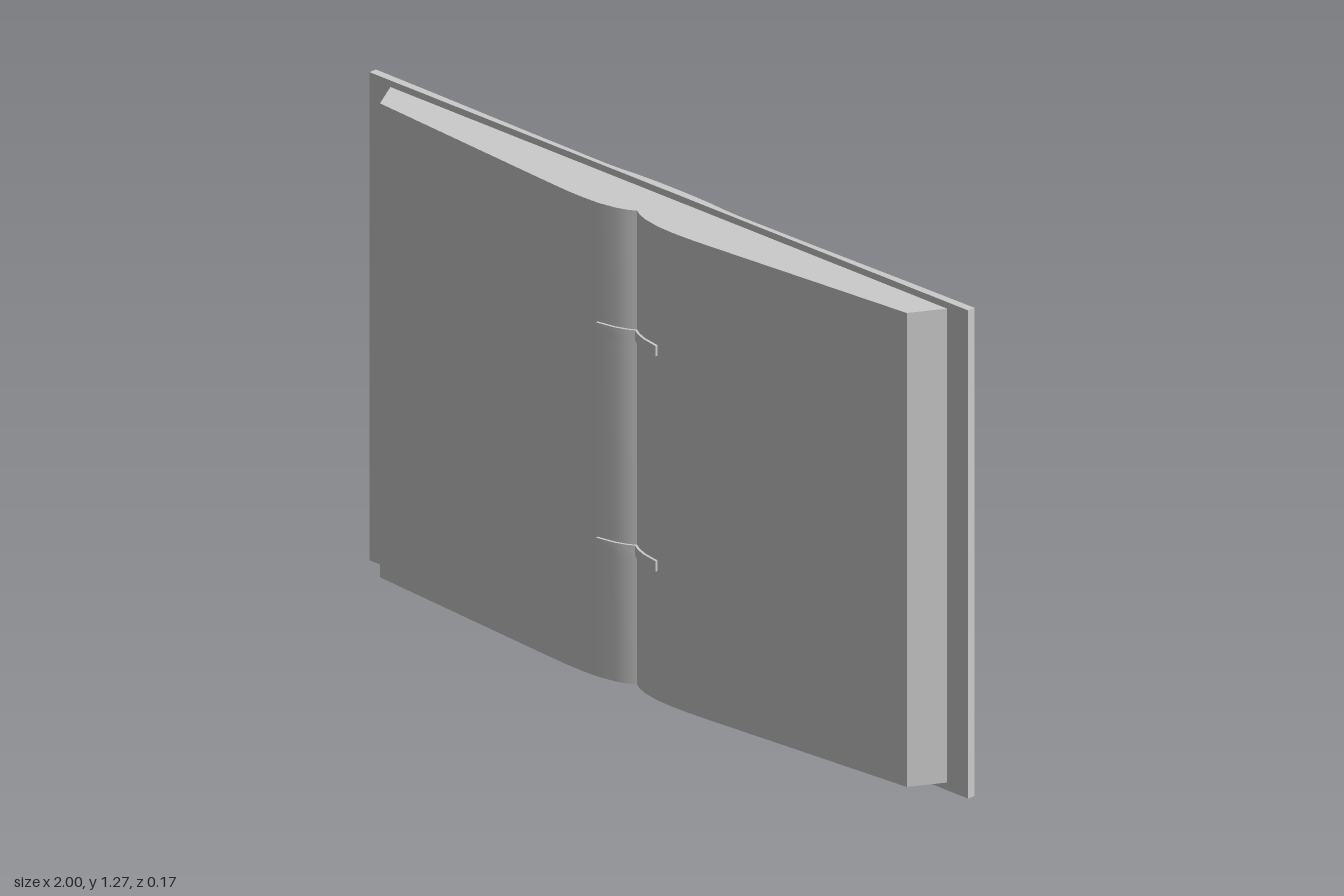
import * as THREE from 'three';
import { toCreasedNormals } from 'three/addons/utils/BufferGeometryUtils.js';

const material = new THREE.MeshStandardMaterial({ color: 0xcccccc });

// Extrudes an (x, z) outline upward from y0 to y1.
function slab(name, outline, y0, y1) {
  const shape = new THREE.Shape(outline.map(([x, z]) => new THREE.Vector2(x, -z)));
  const geometry = new THREE.ExtrudeGeometry(shape, { depth: y1 - y0, bevelEnabled: false });
  geometry.rotateX(-Math.PI / 2).translate(0, y0, 0);
  const mesh = new THREE.Mesh(toCreasedNormals(geometry, 0.5), material);
  mesh.name = name;
  return mesh;
}

// Completes a right-half profile (centre to edge) with its mirror image.
const mirror = (half) => [
  ...half.slice().reverse().map(([x, z]) => [-x, z]),
  ...half.filter(([x]) => x > 0),
];

// Closes a strip of given thickness over a profile.
const strip = (profile, under, over) => [
  ...profile.map(([x, z]) => [x, z + over]),
  ...profile.slice().reverse().map(([x, z]) => [x, z + under]),
];

export function createModel() {
  const book = new THREE.Group();
  book.name = 'openBook';

  // Cover: flat inside, gently bent outside with a raised spine
  const spine = [[0, -0.082], [0.06, -0.0815], [0.12, -0.079], [0.17, -0.075]];
  const coverBack = mirror([...spine, [0.22, -0.073], [0.46, -0.075], [0.8, -0.08], [1, -0.082]]);
  book.add(slab('cover', [...coverBack, [1, -0.06], [-1, -0.06]], 0, 1.27));

  // Page block: two swelling halves meeting in the gutter
  const gutter = [[0, 0.047], [0.02, 0.059], [0.05, 0.07], [0.1, 0.079]];
  const pageFront = mirror([...gutter, [0.15, 0.081], [0.2, 0.08], [0.26, 0.076], [0.88, 0.026]]);
  book.add(slab('pages', [...pageFront, [0.93, -0.06], [-0.93, -0.06]], 0.02, 1.253));

  // Binding straps across the gutter
  for (const y of [0.357, 0.917]) {
    book.add(slab('bindingStrap', strip(mirror(gutter), -0.006, 0.007), y, y + 0.027));
  }

  // Label panel wrapped around the spine
  book.add(slab('spinePanel', strip(mirror(spine), 0.008, -0.004), 0.39, 0.9));

  return book;
}
